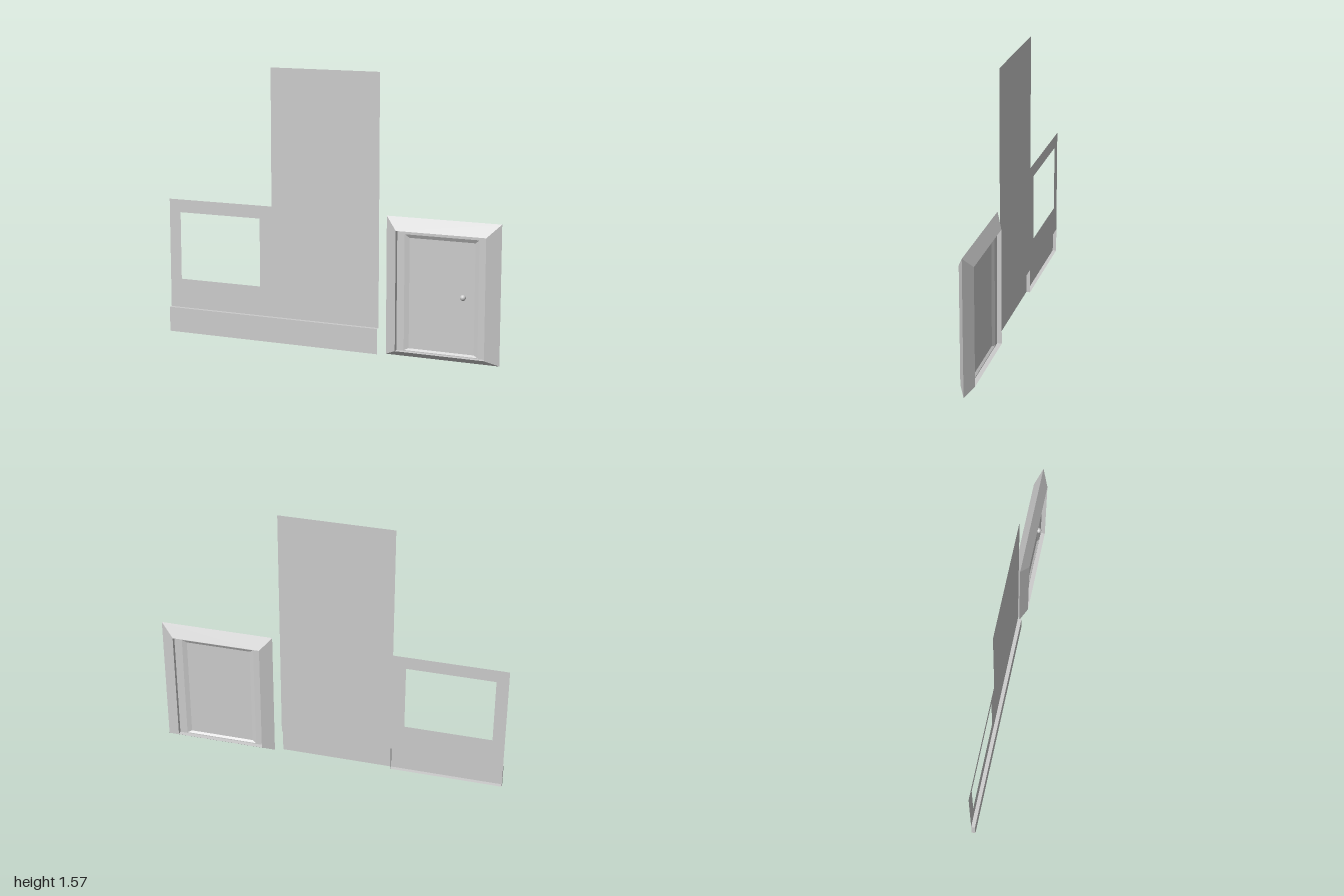
import * as THREE from 'three';

const grey = new THREE.MeshStandardMaterial({ color: 0xcccccc, side: THREE.DoubleSide });

function add(parent, name, geometry, x = 0, y = 0, z = 0) {
  const mesh = new THREE.Mesh(geometry, grey);
  mesh.name = name;
  mesh.position.set(x, y, z);
  parent.add(mesh);
  return mesh;
}

// Skins a row of rectangles [x0, x1, y0, y1, z], outermost first, with flat faces.
// side = 1 faces +z, side = -1 mirrors the relief to face -z.
function rectLoft(rects, side, closed) {
  const pos = [];
  const corners = ([x0, x1, y0, y1, z]) =>
    [[x0, y0], [x1, y0], [x1, y1], [x0, y1]].map(([x, y]) => [x, y, z * side]);
  const quad = (a, b, c, d) => {
    const order = side > 0 ? [a, b, c, a, c, d] : [a, c, b, a, d, c];
    order.forEach((p) => pos.push(...p));
  };
  const loops = rects.map(corners);
  for (let i = 0; i < loops.length - 1; i++) {
    for (let k = 0; k < 4; k++) {
      const n = (k + 1) % 4;
      quad(loops[i][k], loops[i][n], loops[i + 1][n], loops[i + 1][k]);
    }
  }
  if (closed) quad(...loops[loops.length - 1]);
  const geometry = new THREE.BufferGeometry();
  geometry.setAttribute('position', new THREE.Float32BufferAttribute(pos, 3));
  geometry.computeVertexNormals();
  return geometry;
}

function buildWall() {
  const wall = new THREE.Group();
  wall.name = 'wall';
  const [left, step, right] = [-1, -0.35, 0.3];
  const base = 0.145, depth = 0.022;

  // Thin wall sheet with a tall part and a window opening in the low part
  const outline = new THREE.Shape([
    [left, base], [right, base], [right, 1.57], [step, 1.57], [step, 0.785], [left, 0.785],
  ].map(([x, y]) => new THREE.Vector2(x, y)));
  outline.holes.push(new THREE.Path([
    [-0.93, 0.315], [-0.93, 0.71], [-0.425, 0.71], [-0.425, 0.315],
  ].map(([x, y]) => new THREE.Vector2(x, y))));
  add(wall, 'wallSheet', new THREE.ShapeGeometry(outline));

  // Skirting: open-backed boards with a ledge on top
  for (const [name, x0, x1] of [['Low', left, step], ['Tall', step, right]]) {
    const w = x1 - x0, cx = (x0 + x1) / 2;
    add(wall, 'skirtingFace' + name, new THREE.PlaneGeometry(w, base), cx, base / 2, depth);
    add(wall, 'skirtingLedge' + name, new THREE.PlaneGeometry(w, depth).rotateX(-Math.PI / 2),
      cx, base, depth / 2);
  }
  // Returns and underside of the skirting below the window
  for (const x of [left, step]) {
    add(wall, 'skirtingEnd', new THREE.PlaneGeometry(depth, base).rotateY(-Math.PI / 2),
      x, base / 2, depth / 2);
  }
  add(wall, 'skirtingUnderside', new THREE.PlaneGeometry(step - left, depth).rotateX(Math.PI / 2),
    (left + step) / 2, 0, depth / 2);
  return wall;
}

function buildDoor() {
  const door = new THREE.Group();
  door.name = 'door';
  for (const side of [1, -1]) {
    const face = side > 0 ? 'Front' : 'Back';
    // Bevelled casing with a reveal stepping back to the leaf
    add(door, 'doorCasing' + face, rectLoft([
      [0.345, 1, 0.003, 0.785, 0],
      [0.412, 0.925, 0.035, 0.712, 0.04],
      [0.412, 0.925, 0.035, 0.712, 0.014],
    ], side, false));
    // Leaf with a sunken centre panel
    add(door, 'doorLeaf' + face, rectLoft([
      [0.412, 0.925, 0.035, 0.712, 0.014],
      [0.455, 0.88, 0.04, 0.692, 0.014],
      [0.48, 0.855, 0.05, 0.672, 0.003],
    ], side, true));
  }
  // Knob and stem on the front
  add(door, 'doorKnob', new THREE.SphereGeometry(0.016, 20, 14), 0.795, 0.37, 0.022);
  add(door, 'knobStem', new THREE.CylinderGeometry(0.007, 0.007, 0.016, 14).rotateX(Math.PI / 2),
    0.795, 0.37, 0.01);
  return door;
}

export function createModel() {
  const model = new THREE.Group();
  model.name = 'wallAndDoor';
  model.add(buildWall(), buildDoor());
  return model;
}
